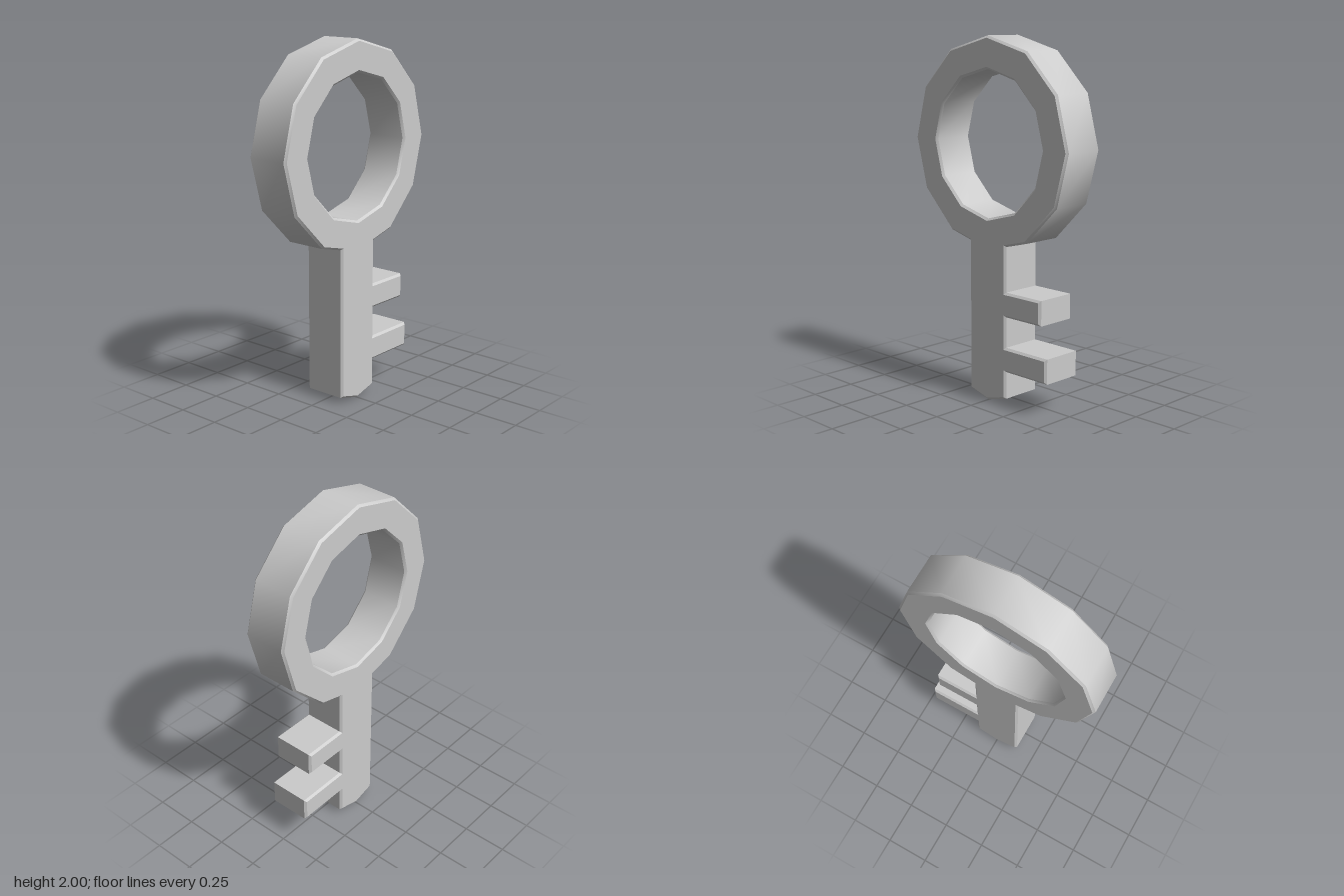
import * as THREE from 'three';
import { toCreasedNormals } from 'three/addons/utils/BufferGeometryUtils.js';

const DEPTH = 0.25, BEVEL = 0.012;
const RING_Y = 1.424, RING_R = 0.576, HOLE_R = 0.4;
const SHANK = 0.138; // half width

// Point on the twelve-sided bow, step 0 pointing to +x
const ringPoint = (r, i) => {
  const a = (i * Math.PI) / 6;
  return new THREE.Vector2(r * Math.cos(a), RING_Y + r * Math.sin(a));
};

export function createModel() {
  const group = new THREE.Group();
  group.name = 'key';

  // Outline, counter-clockwise: shank tip, teeth, then around the bow
  const outline = [[0, 0], [SHANK, 0.038]].map(([x, y]) => new THREE.Vector2(x, y));
  const teeth = [[0.19, 0.328, 0.44], [0.498, 0.636, 0.395]]; // bottom, top, reach
  for (const [bottom, top, reach] of teeth) {
    for (const [x, y] of [[SHANK, bottom], [reach, bottom], [reach, top], [SHANK, top]]) {
      outline.push(new THREE.Vector2(x, y));
    }
  }
  outline.push(new THREE.Vector2(SHANK, 0.886));
  for (let i = -2; i <= 8; i++) outline.push(ringPoint(RING_R, i));
  outline.push(new THREE.Vector2(-SHANK, 0.886), new THREE.Vector2(-SHANK, 0.038));

  const shape = new THREE.Shape(outline);

  // Finger hole in the bow
  const hole = [];
  for (let i = 0; i < 12; i++) hole.push(ringPoint(HOLE_R, -i));
  shape.holes.push(new THREE.Path(hole));

  // Flat body with narrow chamfers kept inside the outline
  const geometry = new THREE.ExtrudeGeometry(shape, {
    depth: DEPTH - 2 * BEVEL,
    bevelEnabled: true,
    bevelSegments: 1,
    bevelThickness: BEVEL,
    bevelSize: BEVEL,
    bevelOffset: -BEVEL,
  });
  geometry.translate(0, 0, BEVEL - DEPTH / 2);

  // Bow walls shade smoothly, chamfers and corners stay sharp
  const body = new THREE.Mesh(
    toCreasedNormals(geometry, 0.6),
    new THREE.MeshStandardMaterial({ color: 0xcccccc })
  );
  body.name = 'keyBody';
  group.add(body);
  return group;
}
